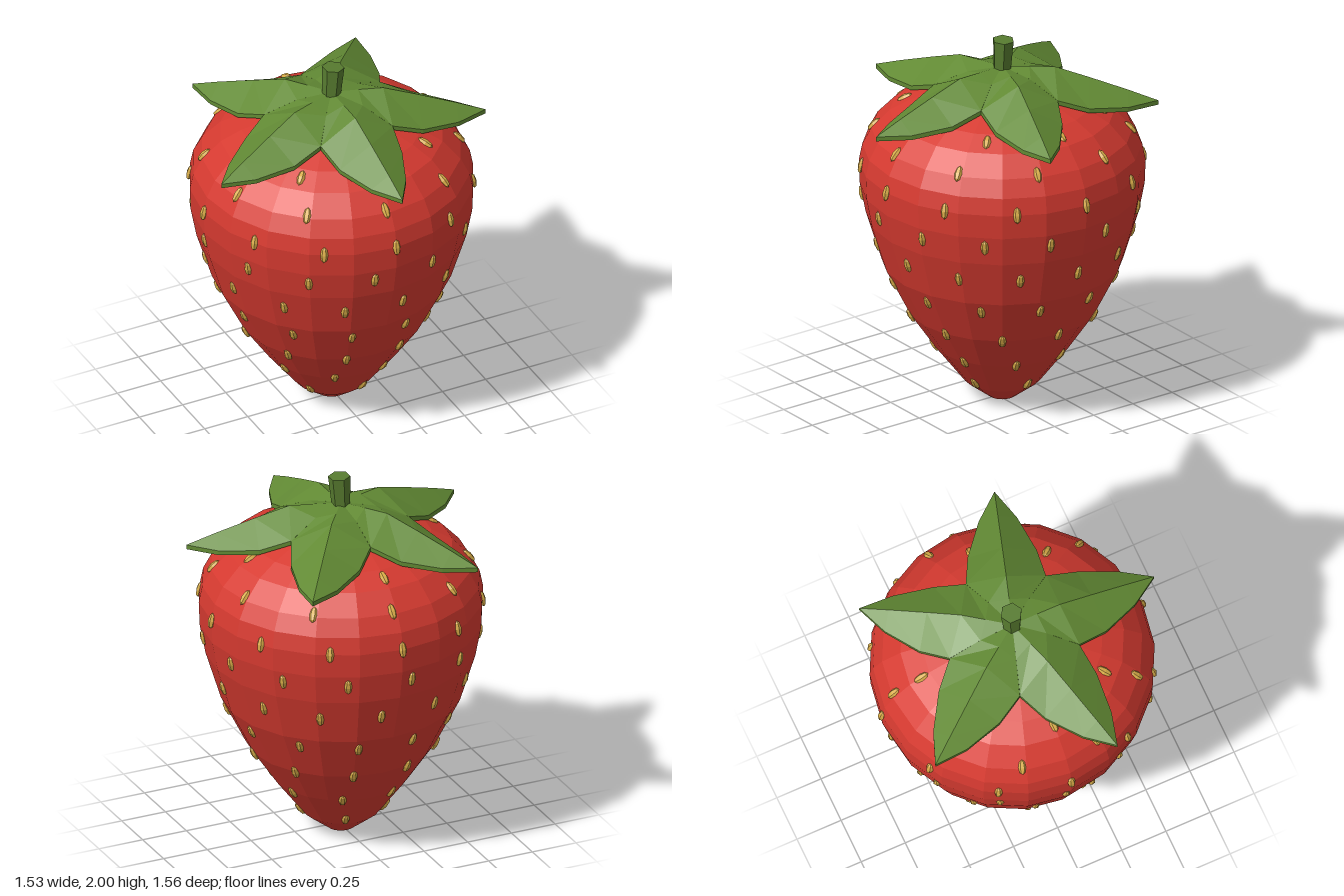
import * as THREE from 'three';

const CZ = -0.03; // z of the fruit's axis
const SIDES = 20;

// Fruit outline as [radius, height], bottom to top
const PROFILE = [
  [0, 0], [0.07, 0], [0.2, 0.1], [0.36, 0.31], [0.495, 0.51], [0.625, 0.77], [0.705, 1.03],
  [0.735, 1.19], [0.74, 1.32], [0.722, 1.41], [0.675, 1.5], [0.58, 1.6], [0.47, 1.66], [0.3, 1.72], [0, 1.75],
];

// Seed rows: [height, count, angle of first seed in degrees]
const SEED_ROWS = [
  [0.14, 5, 16.5], [0.31, 8, 20.8], [0.51, 10, 18], [0.71, 12, 13.3], [0.92, 13, 6.7],
  [1.13, 13, -8.7], [1.32, 12, 0], [1.51, 10, -2], [1.635, 8, 0],
];

// Leaf cross-sections: [edge z, half width, edge y, ridge z, ridge y]
const LEAF_ROWS = [
  [0, 0, 1.845, 0, 1.845],
  [0.146, 0.106, 1.815, 0.14, 1.845],
  [0.287, 0.208, 1.74, 0.27, 1.843],
  [0.45, 0.18, 1.682, 0.45, 1.783],
  [0.65, 0.1, 1.655, 0.65, 1.712],
  [0.805, 0, 1.652, 0.805, 1.652],
];
const LEAF_THICKNESS = 0.024;

const paint = (color) => new THREE.MeshStandardMaterial({ color, flatShading: true });

// Radius and lean of the outline at a height
function outlineAt(y) {
  const i = PROFILE.findIndex((p) => p[1] > y);
  const [r0, y0] = PROFILE[i - 1];
  const [r1, y1] = PROFILE[i];
  return { radius: r0 + ((r1 - r0) * (y - y0)) / (y1 - y0), lean: Math.atan2(r1 - r0, y1 - y0) };
}

// Closed loop of six points per row, with a raised centre ridge
function leafGeometry() {
  const pos = [];
  const index = [];
  for (const [z, w, y, rz, ry] of LEAF_ROWS) {
    const top = [[-w, y, z], [0, ry, rz], [w, y, z]];
    const under = top.map(([a, b, c]) => [a, b - LEAF_THICKNESS, c]).reverse();
    pos.push(...top.flat(), ...under.flat());
  }
  for (let i = 0; i < LEAF_ROWS.length - 1; i++) {
    for (let j = 0; j < 6; j++) {
      const a = i * 6 + j;
      const b = i * 6 + ((j + 1) % 6);
      index.push(a, a + 6, b, b, a + 6, b + 6);
    }
  }
  const geo = new THREE.BufferGeometry();
  geo.setAttribute('position', new THREE.Float32BufferAttribute(pos, 3));
  geo.setIndex(index);
  geo.computeVertexNormals();
  return geo;
}

export function createModel() {
  const model = new THREE.Group();
  model.name = 'strawberry';
  const plant = new THREE.Group();
  plant.position.z = CZ;
  model.add(plant);

  // Fruit body
  const outline = PROFILE.map(([r, y]) => new THREE.Vector2(r, y));
  const fruit = new THREE.Mesh(new THREE.LatheGeometry(outline, SIDES), paint(0xd63a30));
  fruit.name = 'fruit';
  plant.add(fruit);

  // Seeds lying on the facets
  const seeds = new THREE.Group();
  seeds.name = 'seeds';
  const seedGeo = new THREE.SphereGeometry(1, 6, 4).scale(0.021, 0.044, 0.018);
  const seedMat = paint(0xd8ac48);
  const step = (2 * Math.PI) / SIDES;
  for (const [y, count, start] of SEED_ROWS) {
    const { radius, lean } = outlineAt(y);
    for (let i = 0; i < count; i++) {
      const angle = THREE.MathUtils.degToRad(start + (360 * i) / count);
      const offset = THREE.MathUtils.euclideanModulo(angle, step) - step / 2;
      const r = (radius * Math.cos(step / 2)) / Math.cos(offset);
      const seed = new THREE.Mesh(seedGeo, seedMat);
      seed.name = 'seed';
      seed.position.set(r * Math.sin(angle), y, r * Math.cos(angle));
      seed.rotation.set(lean, angle, 0, 'YXZ');
      seeds.add(seed);
    }
  }
  plant.add(seeds);

  // Five-leaf crown
  const crown = new THREE.Group();
  crown.name = 'leafCrown';
  const leafGeo = leafGeometry();
  const leafMat = paint(0x628a34);
  for (let i = 0; i < 5; i++) {
    const leaf = new THREE.Mesh(leafGeo, leafMat);
    leaf.name = 'leaf';
    leaf.rotation.y = (i * 2 * Math.PI) / 5;
    crown.add(leaf);
  }
  plant.add(crown);

  // Six-sided stem, leaning slightly
  const stem = new THREE.Mesh(new THREE.CylinderGeometry(0.058, 0.046, 0.2, 6), paint(0x587c30));
  stem.name = 'stem';
  stem.position.set(0.004, 1.897, 0);
  stem.rotation.z = -0.06;
  plant.add(stem);

  return model;
}
